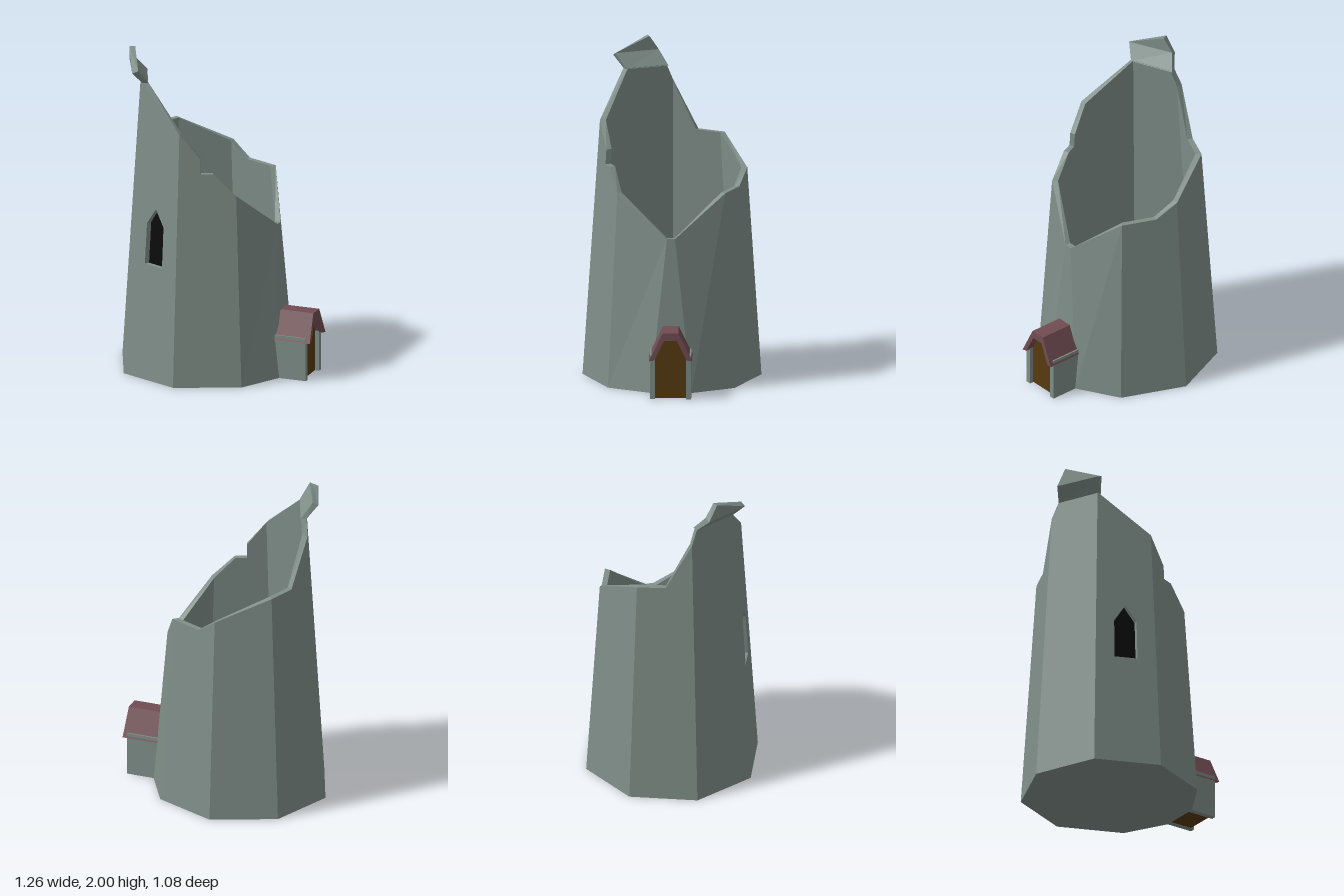
import * as THREE from 'three';

const stone = new THREE.MeshStandardMaterial({ name: 'stone', color: 0x7f8e88 });
const roofRed = new THREE.MeshStandardMaterial({ name: 'roofRed', color: 0x704c51 });
const wood = new THREE.MeshStandardMaterial({ name: 'wood', color: 0x573a10 });
const black = new THREE.MeshStandardMaterial({ name: 'black', color: 0x0a0a0a });

const WALL = 0.036; // wall thickness
const CX = -0.095;  // tower axis

// Corner i of the tapering tower at height y; the door corner is split in two (0 and 8)
function corner(i, y, inset) {
  i %= 9;
  if (i === 0 || i === 8) {
    const half = 0.125 - 0.107 * y;
    return new THREE.Vector3(0.43 - 0.053 * y - inset, y, i === 0 ? half : -half);
  }
  const r = 0.54 - 0.067 * y - inset, a = i * Math.PI / 4;
  return new THREE.Vector3(CX + r * Math.cos(a), y, r * Math.sin(a));
}

// Point on the wall: s runs round the corners
function wallPoint(s, y, inset = 0) {
  const i = Math.floor(s);
  return corner(i, y, inset).lerp(corner(i + 1, y, inset), s - i);
}

// Collects flat-shaded polygons
class Faces {
  pos = [];
  add(...p) {
    for (let i = 1; i < p.length - 1; i++)
      for (const v of [p[0], p[i], p[i + 1]]) this.pos.push(v.x, v.y, v.z);
  }
  mesh(name, material) {
    const g = new THREE.BufferGeometry();
    g.setAttribute('position', new THREE.Float32BufferAttribute(this.pos, 3));
    g.computeVertexNormals();
    return named(g, name, material);
  }
}

function named(geometry, name, material) {
  const m = new THREE.Mesh(geometry, material);
  m.name = name;
  return m;
}

// Flat shape in (-s, y) wrapped onto the wall
function wallPatch(shape, inset, name, material) {
  const g = new THREE.ShapeGeometry(shape).toNonIndexed();
  const p = g.attributes.position;
  for (let i = 0; i < p.count; i++) {
    // stay on the front-left facet, which spans s = 2 to 3
    const s = -p.getX(i), y = p.getY(i);
    const v = corner(2, y, inset).lerp(corner(3, y, inset), s - 2);
    p.setXYZ(i, v.x, v.y, v.z);
  }
  g.computeVertexNormals();
  return named(g, name, material);
}

const shapeOf = (pts) => new THREE.Shape(pts.map(([x, y]) => new THREE.Vector2(x, y)));

// Extrude a z-y profile along x
function alongX(pts, x0, x1, name, material) {
  const g = new THREE.ExtrudeGeometry(shapeOf(pts), { depth: x1 - x0, bevelEnabled: false });
  g.rotateY(Math.PI / 2).translate(x0, 0, 0);
  return named(g, name, material);
}

// Broken rim: [position round the wall, height]
const RIM = [
  [0, 0.94], [1, 1.19], [1.39, 1.325], [1.61, 1.325], [1.61, 1.415], [2, 1.57],
  [3, 1.83], [3.865, 1.83], [4, 1.73], [4.49, 1.435], [5, 1.43], [6, 1.28],
  [6.385, 1.19], [7, 1.19], [8, 0.94], [9, 0.94],
];

function buildTower(group) {
  const f = new Faces();
  const base = new THREE.Vector3(CX, 0, 0), floor = new THREE.Vector3(CX, 0.02, 0);
  for (let k = 0; k < RIM.length - 1; k++) {
    const [s0, y0] = RIM[k], [s1, y1] = RIM[k + 1];
    const b0 = wallPoint(s0, 0), b1 = wallPoint(s1, 0);
    const t0 = wallPoint(s0, y0), t1 = wallPoint(s1, y1);
    const i0 = wallPoint(s0, 0.02, WALL), i1 = wallPoint(s1, 0.02, WALL);
    const j0 = wallPoint(s0, y0, WALL), j1 = wallPoint(s1, y1, WALL);
    if (s0 !== 2) f.add(b1, b0, t0, t1); // the window facet is made below
    f.add(i0, i1, j1, j0);
    f.add(t0, j0, j1, t1);
    f.add(base, b0, b1);
    f.add(floor, i1, i0);
  }
  group.add(f.mesh('towerWall', stone));
}

function buildWindow(group) {
  const hole = [[-2.69, 0.715], [-2.31, 0.715], [-2.31, 0.97], [-2.5, 1.07], [-2.69, 0.97]];
  const facet = shapeOf([[-3, 0], [-2, 0], [-2, 1.57], [-3, 1.83]]);
  facet.holes.push(shapeOf(hole));
  group.add(wallPatch(facet, 0, 'windowFacet', stone));
  group.add(wallPatch(shapeOf(hole), WALL - 0.002, 'windowPane', black));
  const f = new Faces();
  hole.forEach(([x, y], i) => {
    const [x2, y2] = hole[(i + 1) % hole.length];
    f.add(wallPoint(-x, y), wallPoint(-x2, y2), wallPoint(-x2, y2, WALL), wallPoint(-x, y, WALL));
  });
  group.add(f.mesh('windowReveal', stone));
}

// Jagged leaning remnant of the battlement
function buildBattlement(group) {
  const V = (x, y, z) => new THREE.Vector3(x, y, z);
  const A = wallPoint(3.865, 1.825), B = wallPoint(3, 1.825);
  const C = V(-0.55, 1.9, 0.1), D = V(-0.43, 1.9, 0.36), T = V(-0.53, 2, 0.155);
  const loop = [A, B, D, T, C];
  const inward = V(0.033, 0, -0.014);
  const inner = loop.map((p) => p.clone().add(inward));
  inner[2].y = inner[4].y = 1.915;
  const f = new Faces();
  f.add(A, B, D, C);
  f.add(C, D, T);
  f.add(inner[4], inner[2], inner[1], inner[0]);
  f.add(inner[3], inner[2], inner[4]);
  loop.forEach((p, i) => {
    const n = (i + 1) % loop.length;
    f.add(loop[n], p, inner[i], inner[n]);
  });
  group.add(f.mesh('brokenBattlement', stone));
}

function buildPorch(group) {
  const porch = new THREE.Group();
  porch.name = 'porch';
  for (const side of [-1, 1]) {
    const wall = named(new THREE.BoxGeometry(0.205, 0.27, 0.032), 'porchWall', stone);
    wall.position.set(0.5, 0.135, side * 0.109);
    porch.add(wall);
  }
  porch.add(alongX([[-0.095, 0.003], [0.095, 0.003], [0.095, 0.25], [0.038, 0.367], [-0.038, 0.367], [-0.095, 0.25]],
    0.4, 0.578, 'door', wood));
  const roof = alongX([[0.13, 0.24], [0.048, 0.41], [-0.048, 0.41], [-0.13, 0.24],
    [-0.097, 0.245], [-0.038, 0.365], [0.038, 0.365], [0.097, 0.245]], 0.4, 0.63, 'porchRoof', roofRed);
  // lean the gable end back a little towards the ridge
  const p = roof.geometry.attributes.position;
  for (let i = 0; i < p.count; i++)
    if (p.getX(i) > 0.5) p.setX(i, 0.63 - (p.getY(i) - 0.24) * 0.05);
  roof.geometry.computeVertexNormals();
  porch.add(roof);
  group.add(porch);
}

export function createModel() {
  const group = new THREE.Group();
  group.name = 'ruinedTower';
  buildTower(group);
  buildWindow(group);
  buildBattlement(group);
  buildPorch(group);
  return group;
}
